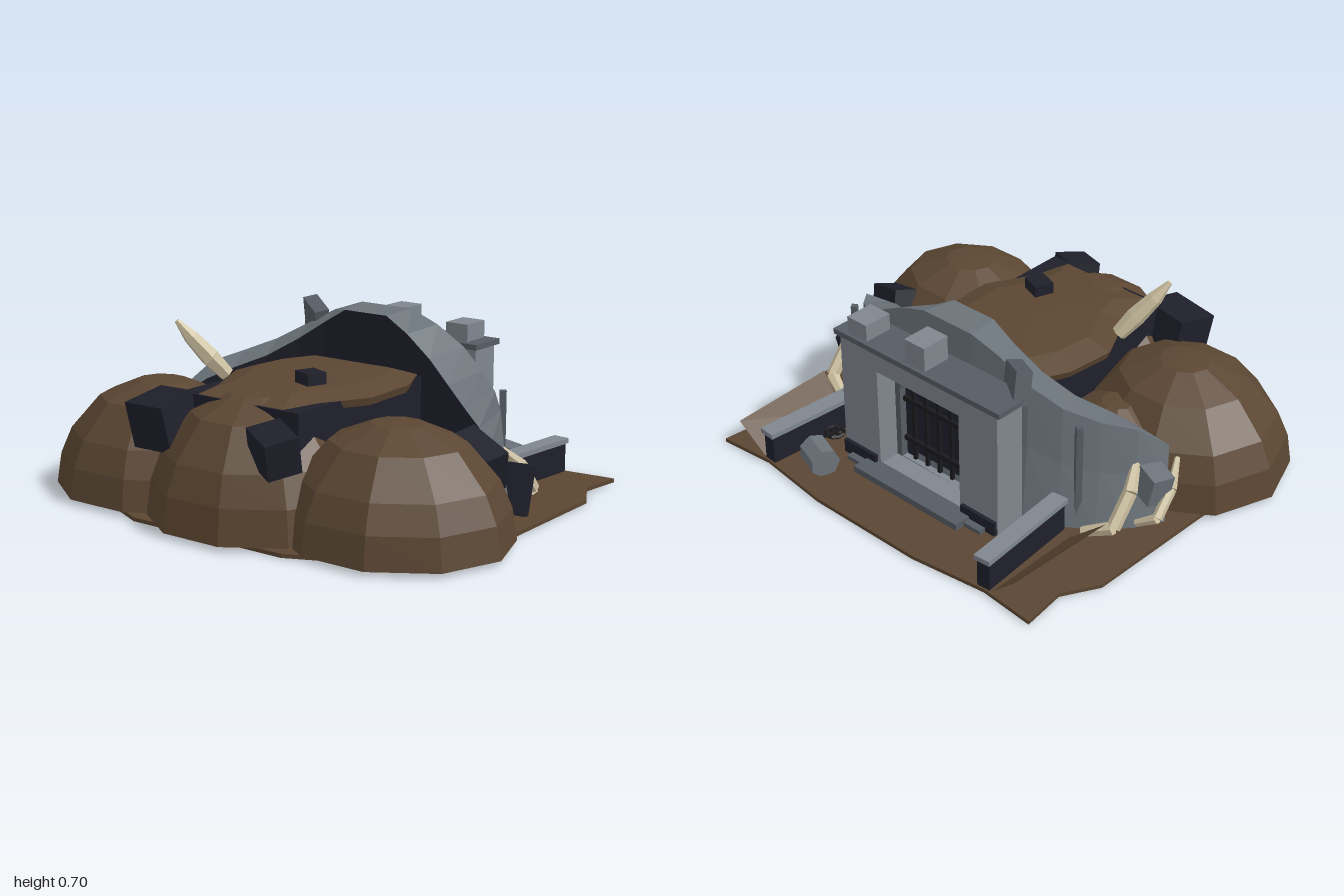
import * as THREE from 'three';

const mat = (name, color, side = THREE.FrontSide) => {
  const m = new THREE.MeshStandardMaterial({ color, side });
  m.name = name;
  return m;
};

export function createModel() {
  const root = new THREE.Group();
  root.name = 'hillTomb';
  const earth = mat('earth', 0x5b4632);
  const slate = mat('slate', 0x1f1f2b, THREE.DoubleSide);
  const stone = mat('stone', 0x6b737a, THREE.DoubleSide);
  const paleStone = mat('paleStone', 0x7f868e);
  const darkStone = mat('darkStone', 0x555c63);
  const iron = mat('iron', 0x1a1a1e);
  const bone = mat('bone', 0xcbbf9f);

  // Adds a faceted mesh
  const add = (name, geo, material, pos = [0, 0, 0], rot = [0, 0, 0]) => {
    const g = geo.index ? geo.toNonIndexed() : geo;
    g.computeVertexNormals();
    const m = new THREE.Mesh(g, material);
    m.name = name;
    m.position.set(...pos);
    m.rotation.set(...rot);
    root.add(m);
    return m;
  };
  const box = (name, size, material, pos, rot) =>
    add(name, new THREE.BoxGeometry(...size), material, pos, rot);

  // Skin between rows of points
  const loft = (rows) => {
    const n = rows[0].length, index = [];
    for (let i = 0; i < rows.length - 1; i++) {
      for (let j = 0; j < n - 1; j++) {
        const a = i * n + j, b = a + n;
        index.push(a, b, a + 1, a + 1, b, b + 1);
      }
    }
    const g = new THREE.BufferGeometry();
    g.setAttribute('position', new THREE.Float32BufferAttribute(rows.flat(2), 3));
    g.setIndex(index);
    return g;
  };

  const shapeOf = (pts) => new THREE.Shape(pts.map(([x, y]) => new THREE.Vector2(x, y)));
  const extrude = (shape, depth, curveSegments = 5) =>
    new THREE.ExtrudeGeometry(shape, { depth, bevelEnabled: false, curveSegments });

  // Ground plate, mirrored outline
  const half = [[0.25, -0.82], [0.57, -0.78], [0.8, -0.8], [0.78, -0.62], [0.86, -0.48],
    [0.87, 0.05], [0.88, 0.3], [0.7, 0.58], [0.35, 0.74]];
  const outline = [...half, ...half.map(([x, z]) => [-x, z]).reverse()];
  const ground = extrude(shapeOf(outline.map(([x, z]) => [x, -z])), 0.015);
  ground.rotateX(-Math.PI / 2);
  add('ground', ground, earth, [0, 0.003, 0]);

  // Overhanging earth faces outside the low walls, facing out and down
  for (const s of [-1, 1]) {
    const back = [[s * 0.6, 0.018, -0.77], [s * 0.72, 0.132, -0.785]];
    const fore = [[s * 0.6, 0.018, -0.36], [s * 0.74, 0.132, -0.325]];
    add('earthBank', loft(s > 0 ? [back, fore] : [fore, back]), earth);
  }

  // Earth mounds
  const mound = (name, x, z, rx, rz, h, turn = 0) => {
    const profile = [[0, 0], [1, 0], [0.955, 0.28], [0.85, 0.52], [0.58, 0.83], [0.23, 0.98], [0, 1]];
    const g = new THREE.LatheGeometry(profile.map(([r, y]) => new THREE.Vector2(r, y)), 10);
    g.rotateY(turn);
    g.scale(rx, h, rz);
    add(name, g, earth, [x, 0.018, z]);
  };
  mound('leftMound', 0.56, 0.34, 0.44, 0.4, 0.43, 0.31);
  mound('rightMound', -0.56, 0.34, 0.44, 0.4, 0.43, 0.31);
  mound('frontMound', 0, 0.46, 0.42, 0.375, 0.48, 0.31);
  for (const s of [-1, 1]) mound('backFill', s * 0.45, 0.08, 0.28, 0.24, 0.32);

  // Chamber with an earth roof
  box('chamber', [0.56, 0.46, 0.75], slate, [0, 0.24, 0.175]);
  const roofPlan = [[-0.25, 0.22], [0.25, 0.22], [0.33, 0.05], [0.34, -0.2], [0.24, -0.38],
    [0.2, -0.54], [-0.2, -0.54], [-0.24, -0.38], [-0.35, -0.15], [-0.33, 0.05]];
  const ring = (k, y) => [...roofPlan, roofPlan[0]].map(([x, d]) => [x * k, y, 0.1 - (d + 0.1) * k]);
  // Plan runs clockwise from above, so rows rise from underside to crown
  add('earthRoof', loft([ring(0, 0.44), ring(0.97, 0.44), ring(1, 0.47), ring(0.72, 0.503), ring(0, 0.507)]), earth);

  // Curved retaining wall: inner x, z, outer x, z, inner height, outer height
  const wallHalf = [[0.1, -0.22, 0.12, -0.36, 0.68, 0.69], [0.2, -0.22, 0.25, -0.35, 0.62, 0.645],
    [0.32, -0.2, 0.38, -0.34, 0.54, 0.575], [0.44, -0.15, 0.5, -0.29, 0.465, 0.505],
    [0.56, -0.08, 0.61, -0.21, 0.41, 0.455], [0.66, -0.03, 0.7, -0.11, 0.36, 0.415],
    [0.74, 0.03, 0.76, 0, 0.29, 0.32]];
  const wall = [...wallHalf.map(([a, b, c, ...rest]) => [-a, b, -c, ...rest]).reverse(), ...wallHalf];
  add('retainingWall', loft(wall.map(([a, b, c, d, low, h]) => [
    [a, low, b], [c, h, d], [c * 1.02, h * 0.55, d - 0.015], [c * 1.05, 0.015, d - 0.05],
  ])), stone);
  add('retainingWallLining', loft(wall.map(([a, b, , , low]) => [[a, 0.015, b], [a, low, b]])), slate);
  for (const s of [-1, 1]) {
    add('wallEnd', loft([[[s * 0.74, 0.015, 0.03], [s * 0.74, 0.29, 0.03]],
      [[s * 0.8, 0.015, -0.05], [s * 0.76, 0.32, 0]]]), stone);
  }
  for (const [x, z] of [[0.62, -0.25], [-0.57, -0.28]]) {
    box('wallPost', [0.025, 0.39, 0.025], darkStone, [x, 0.26, z], [0, x, 0]);
  }

  // Entrance front
  const rect = (x, y0, y1) => [[-x, y0], [x, y0], [x, y1], [-x, y1]];
  const front = shapeOf(rect(0.4, 0.01, 0.555));
  front.holes.push(shapeOf(rect(0.21, 0.04, 0.46)));
  add('entranceFront', extrude(front, 0.13), paleStone, [0, 0, -0.525]);
  const arch = shapeOf(rect(0.215, 0.03, 0.47));
  const opening = new THREE.Path();
  opening.moveTo(-0.185, 0.04);
  opening.lineTo(0.185, 0.04);
  opening.lineTo(0.185, 0.35);
  opening.absellipse(0, 0.35, 0.185, 0.09, 0, Math.PI, false);
  opening.lineTo(-0.185, 0.04);
  arch.holes.push(opening);
  add('doorArch', extrude(arch, 0.03), darkStone, [0, 0, -0.435]);
  box('door', [0.4, 0.42, 0.02], slate, [0, 0.24, -0.395]);
  for (let i = -2; i <= 2; i++) box('gateBar', [0.014, 0.37, 0.014], iron, [i * 0.065, 0.23, -0.415]);
  for (const y of [0.13, 0.31]) box('gateRail', [0.35, 0.02, 0.016], iron, [0, y, -0.42]);
  box('cornice', [0.84, 0.022, 0.165], darkStone, [-0.01, 0.566, -0.465]);
  box('threshold', [0.7, 0.035, 0.3], darkStone, [0, 0.0175, -0.42]);
  box('step', [0.54, 0.045, 0.09], darkStone, [0, 0.0225, -0.565]);
  for (const s of [-1, 1]) box('plinth', [0.17, 0.06, 0.02], slate, [s * 0.31, 0.045, -0.53]);
  for (const [x, h] of [[0, 0.1], [0.3, 0.07]]) {
    box('battlement', [0.1, h, 0.12], paleStone, [x, 0.575 + h / 2, -0.47]);
  }
  box('fallenBattlement', [0.15, 0.13, 0.06], darkStone, [-0.36, 0.595, -0.375], [0.2, -0.6, -0.15]);

  // Low walls flanking the entrance
  for (const s of [-1, 1]) {
    const turn = s * -0.08;
    box('sideWall', [0.055, 0.125, 0.44], slate, [s * 0.545, 0.073, -0.555], [0, turn, 0]);
    box('sideWallCap', [0.07, 0.02, 0.46], paleStone, [s * 0.545, 0.145, -0.555], [0, turn, 0]);
  }

  // Loose rocks
  box('rock', [0.21, 0.18, 0.18], slate, [-0.32, 0.365, 0.585], [0.2, -0.12, 0.08]);
  box('rock', [0.17, 0.14, 0.13], slate, [0.25, 0.355, 0.65], [0.2, -0.5, -0.1]);
  box('rock', [0.2, 0.16, 0.13], slate, [0.72, 0.265, 0.08], [0.25, -0.35, -0.25]);
  box('rock', [0.09, 0.045, 0.08], slate, [0.11, 0.527, 0.265], [0, -0.35, 0]);
  box('rock', [0.09, 0.19, 0.07], slate, [0.77, 0.125, -0.13], [-0.25, 0.3, 0]);
  box('rock', [0.1, 0.12, 0.09], stone, [-0.77, 0.2, -0.09], [0.1, -0.3, 0.2]);
  add('boulder', new THREE.CylinderGeometry(0.06, 0.06, 0.12, 7), stone,
    [0.39, 0.07, -0.675], [0, -0.35, Math.PI / 2]);
  add('ironRing', new THREE.TorusGeometry(0.035, 0.009, 5, 9), iron, [0.46, 0.07, -0.53], [Math.PI / 2, 0, 0]);
  for (const a of [0, Math.PI / 2]) box('ringSpoke', [0.07, 0.01, 0.01], iron, [0.46, 0.07, -0.53], [0, a, 0]);

  // Bones: chained tapered segments through [x, y, z, radius] points
  const boneChain = (name, pts) => {
    for (let i = 0; i < pts.length - 1; i++) {
      const a = new THREE.Vector3(...pts[i]), b = new THREE.Vector3(...pts[i + 1]);
      const g = new THREE.CylinderGeometry(pts[i + 1][3], pts[i][3], a.distanceTo(b), 6);
      const m = add(name, g, bone, a.clone().add(b).multiplyScalar(0.5).toArray());
      m.quaternion.setFromUnitVectors(new THREE.Vector3(0, 1, 0), b.sub(a).normalize());
    }
  };
  boneChain('tusk', [[-0.3, 0.48, 0.26, 0.03], [-0.34, 0.55, 0.31, 0.038],
    [-0.39, 0.63, 0.36, 0.03], [-0.425, 0.695, 0.4, 0.01]]);
  for (const s of [-1, 1]) {
    boneChain('rib', [[s * 0.63, 0.04, -0.32, 0.02], [s * 0.74, 0.09, -0.28, 0.027],
      [s * 0.74, 0.2, -0.19, 0.027], [s * 0.69, 0.29, -0.09, 0.014]]);
  }
  boneChain('rib', [[-0.75, 0.05, -0.16, 0.014], [-0.83, 0.1, -0.14, 0.02],
    [-0.82, 0.18, -0.05, 0.02], [-0.78, 0.26, 0.03, 0.01]]);

  return root;
}
